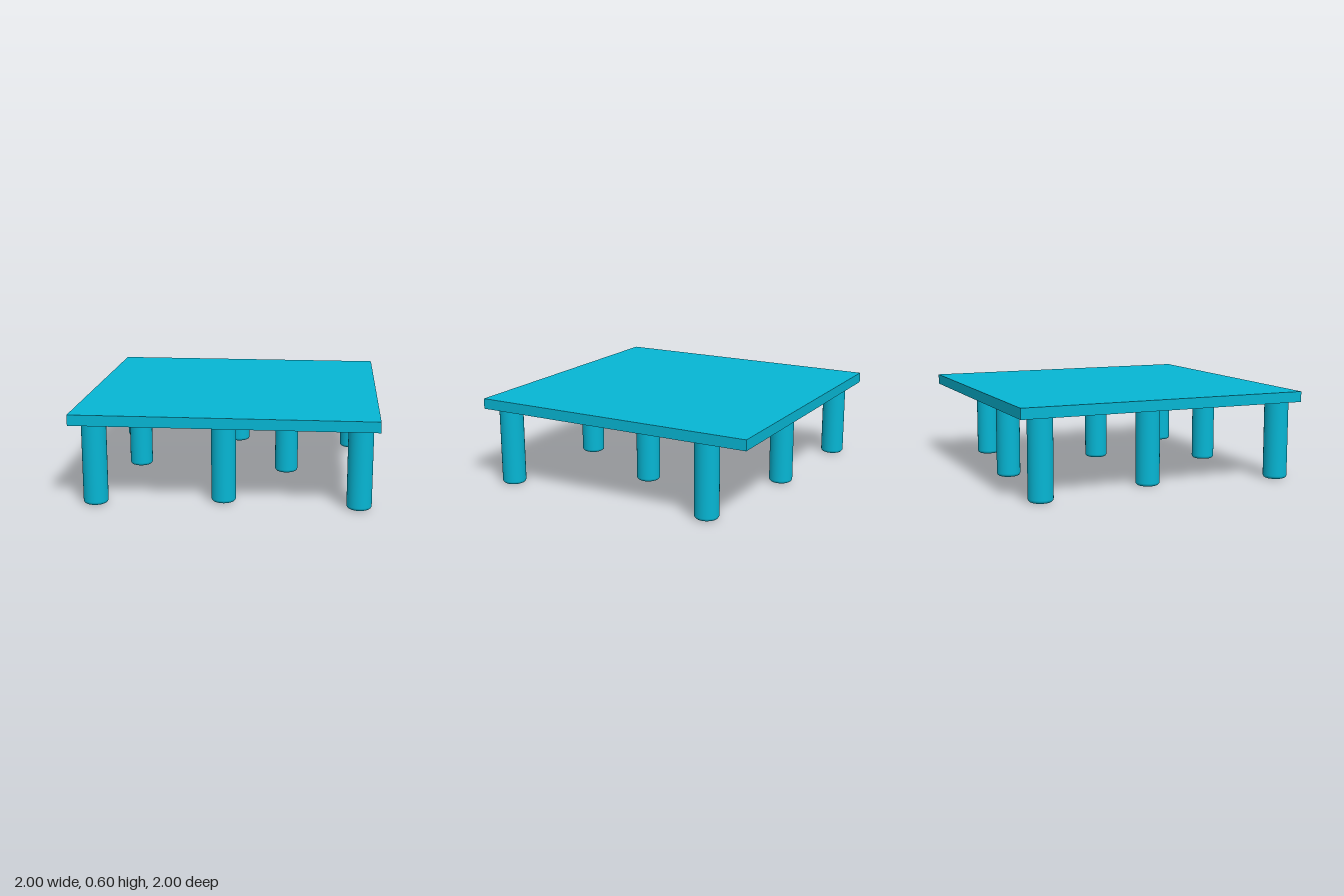
import * as THREE from 'three';

export function createModel() {
  const group = new THREE.Group();
  const material = new THREE.MeshStandardMaterial({ color: 0x06b6d4 });
  const underside = 0.53, topHeight = 0.6, radius = 0.08, bevel = 0.022;

  // Square slab, turned slightly about the vertical
  const slab = new THREE.Mesh(
    new THREE.BoxGeometry(1.953, topHeight - underside, 1.953), material);
  slab.name = 'tableTop';
  slab.position.y = (topHeight + underside) / 2;
  slab.rotation.y = -0.024;
  group.add(slab);

  // Round leg profile with a softened foot
  const profile = [new THREE.Vector2(0, 0)];
  for (let i = 0; i <= 6; i++) {
    const a = (i / 6) * Math.PI / 2;
    profile.push(new THREE.Vector2(
      radius - bevel + bevel * Math.sin(a), bevel - bevel * Math.cos(a)));
  }
  profile.push(new THREE.Vector2(radius, underside));
  const legGeometry = new THREE.LatheGeometry(profile, 40);

  // Legs: x, z of each
  const legs = [
    [0.84, 0.86], [-0.03, 0.77], [-0.85, 0.86],
    [0.36, 0.07], [-0.695, -0.03],
    [0.84, -0.62], [-0.03, -0.76], [-0.85, -0.84],
  ];
  legs.forEach(([x, z], i) => {
    const leg = new THREE.Mesh(legGeometry, material);
    leg.name = `leg${i + 1}`;
    leg.position.set(x, 0, z);
    group.add(leg);
  });

  return group;
}
